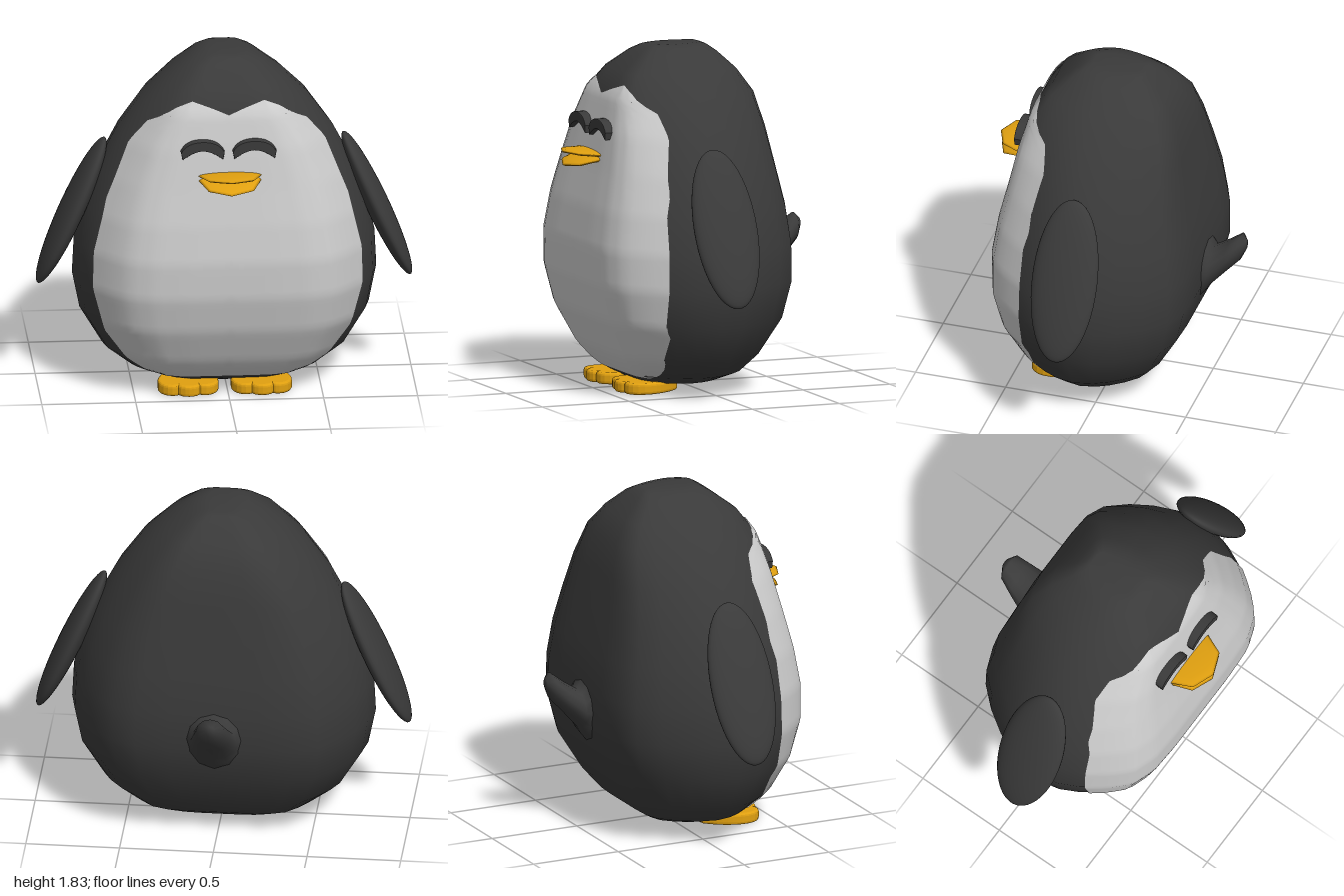
import * as THREE from 'three';

const mat = (color, extra = {}) => new THREE.MeshStandardMaterial({ color, ...extra });

// Piecewise-linear lookup of column c in a table sorted by its first column
function lookup(table, v, c = 1) {
  let i = 1;
  while (i < table.length - 1 && table[i][0] < v) i++;
  const a = table[i - 1], b = table[i];
  const t = THREE.MathUtils.clamp((v - a[0]) / (b[0] - a[0]), 0, 1);
  return a[c] + (b[c] - a[c]) * t;
}

function surface(pos, idx) {
  const g = new THREE.BufferGeometry();
  g.setAttribute('position', new THREE.Float32BufferAttribute(pos, 3));
  g.setIndex(idx);
  g.computeVertexNormals();
  return g;
}

// Skin over closed rings of [x, y, z], capped at both ends
function loft(rings) {
  const n = rings[0].length, last = (rings.length - 1) * n, pos = rings.flat(2), idx = [];
  for (let r = 0; r < rings.length - 1; r++) {
    for (let i = 0; i < n; i++) {
      const a = r * n + i, b = r * n + (i + 1) % n;
      idx.push(a, b, a + n, b, b + n, a + n);
    }
  }
  const centre = ring => [0, 1, 2].map(k => ring.reduce((s, p) => s + p[k], 0) / n);
  const c0 = rings.length * n, c1 = c0 + 1;
  pos.push(...centre(rings[0]), ...centre(rings[rings.length - 1]));
  for (let i = 0; i < n; i++) {
    const j = (i + 1) % n;
    idx.push(j, i, c0, last + i, last + j, c1);
  }
  return surface(pos, idx);
}

// Body rows: height, half width, front z, back z
const ROWS = [
  [0.05, 0.36, 0.30, -0.15], [0.1, 0.52, 0.37, -0.23], [0.2, 0.65, 0.45, -0.31],
  [0.4, 0.77, 0.55, -0.425], [0.6, 0.81, 0.60, -0.475], [0.8, 0.80, 0.605, -0.475],
  [1.0, 0.755, 0.575, -0.45], [1.2, 0.68, 0.53, -0.41], [1.4, 0.575, 0.49, -0.375],
  [1.58, 0.445, 0.445, -0.335], [1.7, 0.32, 0.365, -0.26], [1.79, 0.2, 0.25, -0.17],
  [1.82, 0.13, 0.2, -0.13], [1.83, 0.08, 0.16, -0.1],
];
// Quarter of the body section: side fraction, depth fraction
const SECTION = [[0, 1], [0.3, 1], [0.52, 0.98], [0.68, 0.89], [0.8, 0.7], [0.9, 0.48], [0.965, 0.27], [1, 0]];
const MID = 0.08;

function bodyGeometry() {
  const back = SECTION.slice(0, -1).map(([x, z]) => [x, -z]).reverse();
  const right = [...SECTION, ...back];
  const loop = [...right, ...right.slice(1, -1).reverse().map(([x, z]) => [-x, z])];
  return loft(ROWS.map(([y, w, zf, zb]) =>
    loop.map(([x, z]) => [x * w, y, MID + z * (z > 0 ? zf - MID : MID - zb)])));
}

// Outer edge of the pale belly: height, x
const EDGE = [
  [0.085, 0.34], [0.1, 0.41], [0.17, 0.52], [0.35, 0.65], [0.6, 0.715], [0.8, 0.71],
  [1.1, 0.64], [1.4, 0.52], [1.52, 0.42], [1.63, 0.25], [1.65, 0.19],
];

// One half of the belly, following the front of the body
function bellyGeometry(side) {
  const nr = 48, nc = 16, pos = [], idx = [];
  for (let r = 0; r <= nr; r++) {
    const y = 0.085 + (1.65 - 0.085) * r / nr;
    const inner = Math.max(0, (y - 1.59) / 0.06) * 0.19;
    const w = lookup(ROWS, y), zf = lookup(ROWS, y, 2);
    for (let c = 0; c <= nc; c++) {
      const x = THREE.MathUtils.lerp(inner, lookup(EDGE, y), c / nc);
      const z = MID + (zf - MID) * lookup(SECTION, x / w);
      pos.push(side * x * 1.008, y, z + 0.008);
      if (r < nr && c < nc) {
        const a = r * (nc + 1) + c, b = a + 1, d = a + nc + 1, e = d + 1;
        if (side > 0) idx.push(a, b, d, b, e, d);
        else idx.push(a, d, b, b, d, e);
      }
    }
  }
  return surface(pos, idx);
}

// Tail rings: z, top y, bottom y, half width
function tailGeometry() {
  const rows = [
    [-0.4, 0.88, 0.42, 0.2], [-0.475, 0.81, 0.51, 0.145], [-0.5, 0.765, 0.555, 0.125],
    [-0.585, 0.82, 0.65, 0.1], [-0.655, 0.875, 0.725, 0.077], [-0.685, 0.845, 0.79, 0.025],
  ];
  return loft(rows.map(([z, top, low, w]) => Array.from({ length: 12 }, (_, i) => {
    const a = i / 12 * Math.PI * 2;
    return [w * Math.sin(a), (top + low) / 2 + (top - low) / 2 * Math.cos(a), z];
  })));
}

// Flat foot with a narrow heel and three rounded toes
function footGeometry() {
  const s = new THREE.Shape();
  s.moveTo(-0.045, 0.125);
  s.quadraticCurveTo(0, 0.118, 0.045, 0.125);
  s.quadraticCurveTo(0.13, 0.2, 0.148, 0.3);
  s.bezierCurveTo(0.16, 0.42, 0.06, 0.43, 0.052, 0.385);
  s.bezierCurveTo(0.05, 0.445, -0.05, 0.445, -0.052, 0.385);
  s.bezierCurveTo(-0.06, 0.43, -0.16, 0.42, -0.148, 0.3);
  s.quadraticCurveTo(-0.13, 0.2, -0.045, 0.125);
  const g = new THREE.ExtrudeGeometry(s, {
    depth: 0.03, bevelSize: 0.014, bevelThickness: 0.016, bevelSegments: 3, curveSegments: 8,
  });
  // Lay flat with the toes towards the front
  return g.rotateX(Math.PI / 2).translate(0, 0.046, 0);
}

// Curved closed eye
function eyeGeometry() {
  const s = new THREE.Shape();
  s.moveTo(-0.112, 0);
  s.quadraticCurveTo(-0.085, 0.055, 0, 0.056);
  s.quadraticCurveTo(0.085, 0.055, 0.112, 0);
  s.lineTo(0.106, -0.034);
  s.quadraticCurveTo(0.05, 0.01, 0, 0.012);
  s.quadraticCurveTo(-0.05, 0.01, -0.106, -0.034);
  return new THREE.ExtrudeGeometry(s, {
    depth: 0.05, bevelSize: 0.004, bevelThickness: 0.004, bevelSegments: 2, curveSegments: 8,
  });
}

export function createModel() {
  const group = new THREE.Group();
  const dark = mat(0x3a3a3a), pale = mat(0xcccccc, { side: THREE.DoubleSide }), yellow = mat(0xe0a010);
  const add = (name, geometry, material, x = 0, y = 0, z = 0) => {
    const m = new THREE.Mesh(geometry, material);
    m.name = name;
    m.position.set(x, y, z);
    group.add(m);
    return m;
  };

  add('body', bodyGeometry(), dark);
  add('tail', tailGeometry(), dark);

  // Beak halves, slightly open
  const upper = add('upperBeak', new THREE.SphereGeometry(1, 8, 8), yellow, 0, 1.272, 0.52);
  upper.scale.set(0.17, 0.018, 0.16);
  upper.rotation.x = -0.06;
  const lower = add('lowerBeak', new THREE.SphereGeometry(1, 8, 8), yellow, 0, 1.25, 0.52);
  lower.scale.set(0.17, 0.022, 0.16);
  lower.rotation.x = 0.27;

  // Mirrored parts
  for (const [side, s] of [['left', 1], ['right', -1]]) {
    add(side + 'Belly', bellyGeometry(s), pale);
    const wing = add(side + 'Wing', new THREE.SphereGeometry(1, 32, 24), dark, s * 0.813, 0.943, 0.076);
    wing.scale.set(0.062, 0.44, 0.18);
    wing.rotation.z = s * 0.42;
    add(side + 'Eye', eyeGeometry(), dark, s * 0.138 - 0.007, 1.405, 0.478);
    add(side + 'Foot', footGeometry(), yellow, s * 0.195 - 0.014, 0, 0);
  }
  return group;
}
